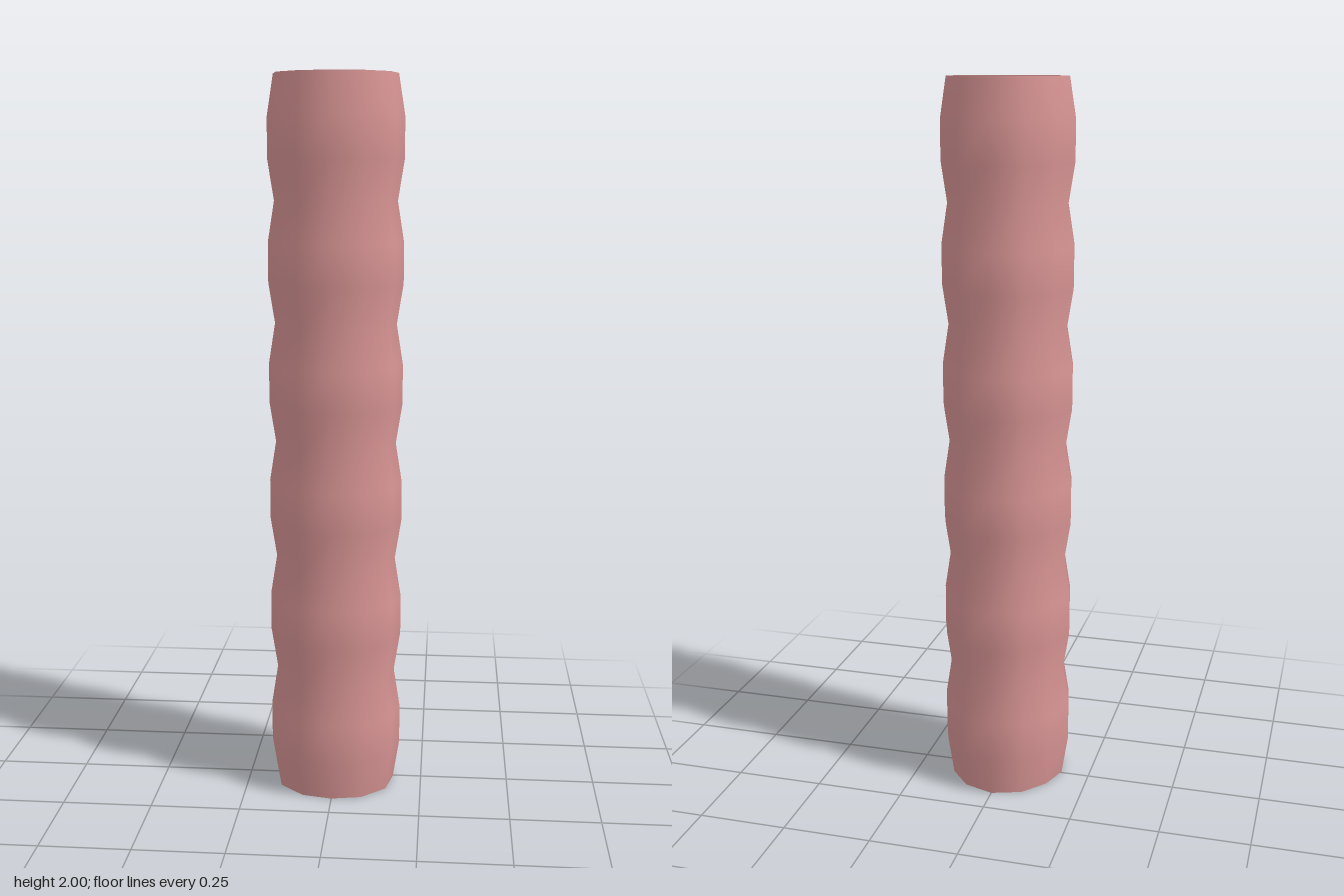
import * as THREE from 'three';
import { mergeVertices } from 'three/addons/utils/BufferGeometryUtils.js';

// Half of the slightly irregular twelve-sided outline [x, z], front to back
const HALF = [[0, 0.183], [0.092, 0.165], [0.166, 0.099], [0.186, 0.005], [0.155, -0.083], [0.092, -0.156], [0, -0.187]];
const OUTLINE = [...HALF, ...HALF.slice(1, -1).reverse().map(([x, z]) => [-x, z])];

const SEGMENTS = 6;      // bulging sections stacked along the tube
const RINGS = 3;         // height steps in each section
const NECK = 0.905;      // scale of the narrow rings between sections
const HEIGHT = 2;

export function createModel() {
  const group = new THREE.Group();
  group.name = 'ribbedTube';

  // Open cylinder, reshaped ring by ring
  const sides = OUTLINE.length;
  const rows = SEGMENTS * RINGS;
  let geometry = new THREE.CylinderGeometry(1, 1, HEIGHT, sides, rows, true);
  const position = geometry.attributes.position;
  for (let row = 0; row <= rows; row++) {
    const scale = row % RINGS === 0 ? NECK : 1;
    for (let side = 0; side <= sides; side++) {
      const [x, z] = OUTLINE[side % sides];
      position.setXYZ(row * (sides + 1) + side, x * scale, HEIGHT * (1 - row / rows), z * scale);
    }
  }

  // Weld the seam so shading stays smooth all round
  geometry.deleteAttribute('uv');
  geometry.deleteAttribute('normal');
  geometry = mergeVertices(geometry);
  geometry.computeVertexNormals();

  const material = new THREE.MeshStandardMaterial({ color: 0xd89494, side: THREE.DoubleSide });
  const tube = new THREE.Mesh(geometry, material);
  tube.name = 'tubeWall';
  group.add(tube);
  return group;
}
